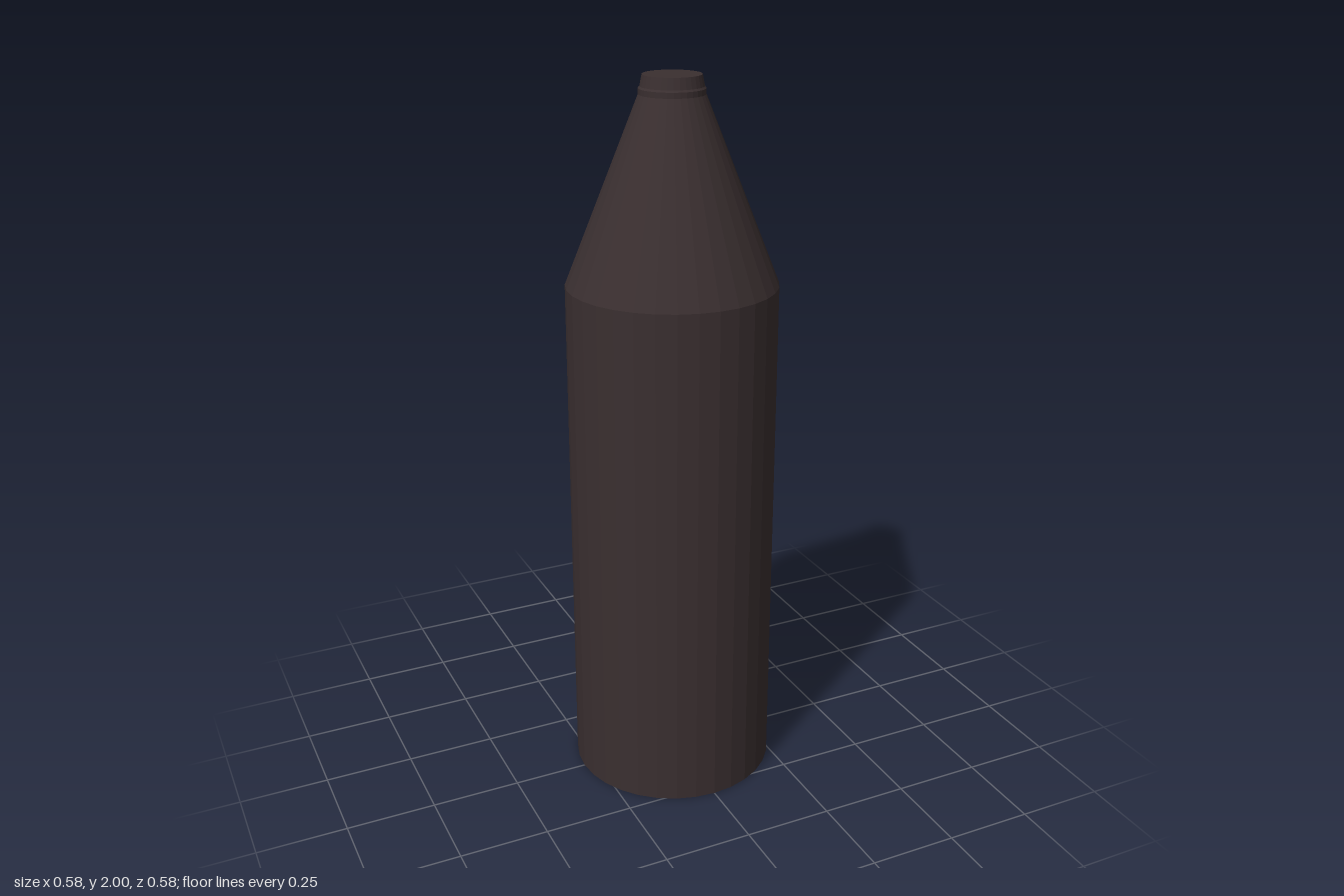
import * as THREE from 'three';

const SIDES = 32;

export function createModel() {
  const model = new THREE.Group();
  model.name = 'bottle';

  const darkBrown = new THREE.MeshStandardMaterial({ color: 0x3a2f30, flatShading: true });
  darkBrown.name = 'dark brown';

  // Each part is a closed ring profile of [radius, height] points, bottom to top
  const addPart = (name, profile) => {
    const points = profile.map(([r, y]) => new THREE.Vector2(r, y));
    const mesh = new THREE.Mesh(new THREE.LatheGeometry(points, SIDES), darkBrown);
    mesh.name = name;
    model.add(mesh);
  };

  // Straight body with a closed base
  addPart('body', [[0, 0], [0.288, 0], [0.288, 1.45]]);

  // Tapering shoulder
  addPart('shoulder', [[0.288, 1.45], [0.088, 1.95]]);

  // Short stepped neck with a flat closed top
  addPart('neck', [[0.088, 1.95], [0.088, 1.965], [0.084, 1.97], [0.078, 2], [0, 2]]);

  return model;
}
